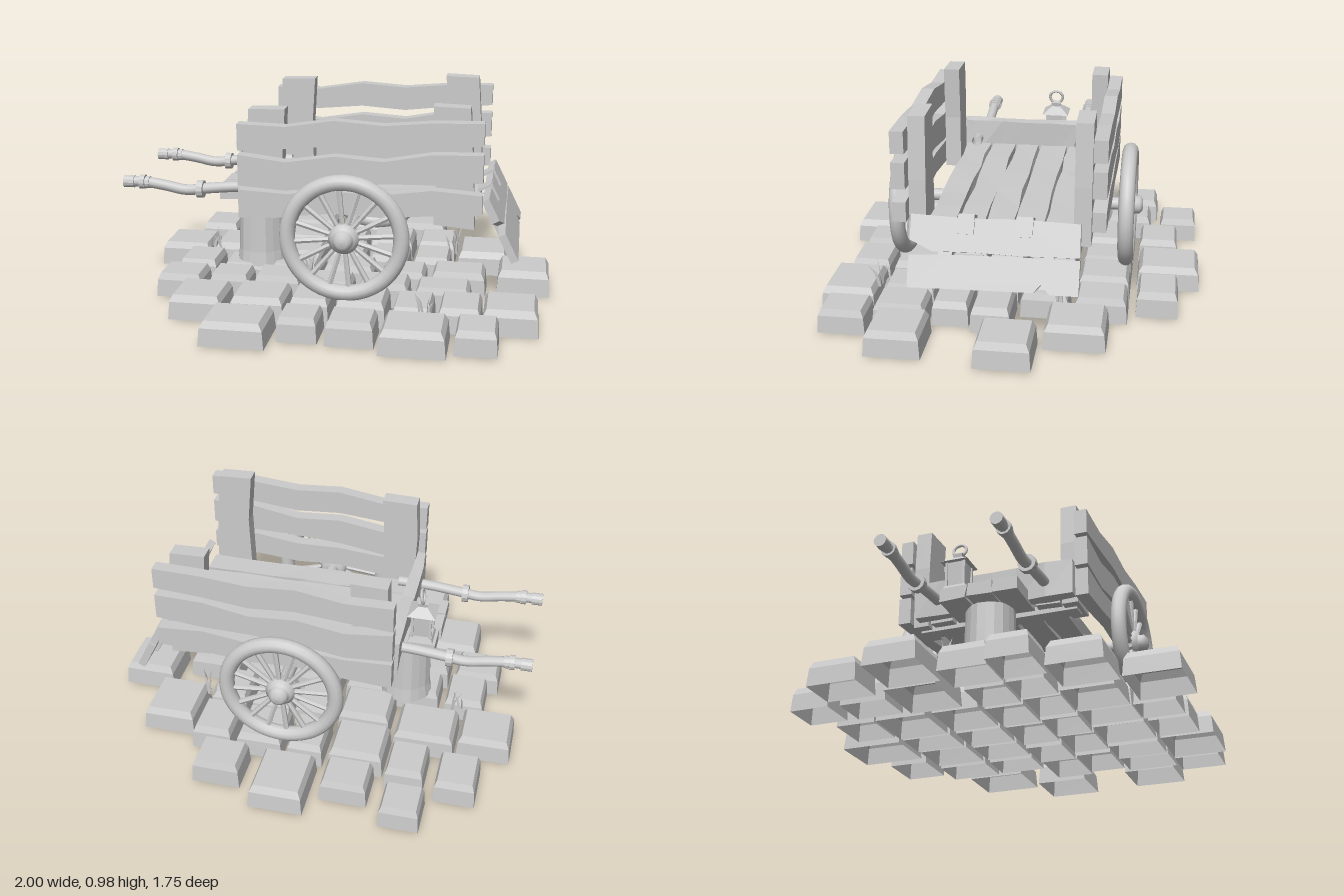
import * as THREE from 'three';

const flat = new THREE.MeshStandardMaterial({ color: 0xcccccc, flatShading: true, side: THREE.DoubleSide });
const smooth = new THREE.MeshStandardMaterial({ color: 0xcccccc, side: THREE.DoubleSide });

let seed = 7;
const rnd = () => ((seed = (seed * 16807) % 2147483647) / 2147483647) * 2 - 1;

function add(parent, name, geo, x = 0, y = 0, z = 0, mat = flat) {
  const m = new THREE.Mesh(geo, mat);
  m.name = name;
  m.position.set(x, y, z);
  parent.add(m);
  return m;
}

// Extruded outline, centred on its thickness
function slab(points, depth) {
  const shape = new THREE.Shape(points.map(p => new THREE.Vector2(p[0], p[1])));
  return new THREE.ExtrudeGeometry(shape, { depth, bevelEnabled: false }).translate(0, 0, -depth / 2);
}

// Rough-hewn block: a segmented box whose cross-sections drift along x
function roughBeam(len, h, d, wobble, segs = 6) {
  const g = new THREE.BoxGeometry(len, h, d, segs, 1, 1);
  const p = g.attributes.position;
  const shifts = Array.from({ length: (segs + 1) * 4 }, () => [rnd() * wobble, rnd() * wobble]);
  for (let i = 0; i < p.count; i++) {
    const k = Math.round((p.getX(i) / len + 0.5) * segs) * 4 + (p.getY(i) > 0 ? 2 : 0) + (p.getZ(i) > 0 ? 1 : 0);
    p.setY(i, p.getY(i) + shifts[k][0] * 0.5);
    p.setZ(i, p.getZ(i) + shifts[k][1]);
  }
  return g;
}

function makeWheel() {
  const w = new THREE.Group();
  w.name = 'wheel';
  add(w, 'rim', new THREE.TorusGeometry(0.254, 0.036, 12, 48), 0, 0, 0, smooth);
  for (let i = 0; i < 16; i++) {
    const spoke = add(w, 'spoke', new THREE.CylinderGeometry(0.014, 0.011, 0.2, 6).translate(0, 0.14, 0));
    spoke.rotation.z = (i / 16) * Math.PI * 2 + 0.1;
  }
  const hub = [[0, -0.045], [0.05, -0.045], [0.068, -0.02], [0.068, 0.015], [0.05, 0.03],
    [0.042, 0.035], [0.042, 0.055], [0.025, 0.068], [0, 0.07]].map(p => new THREE.Vector2(p[0], p[1]));
  add(w, 'hub', new THREE.LatheGeometry(hub, 20).rotateX(Math.PI / 2), 0, 0, 0, smooth);
  return w;
}

// Wavy side board from the heights of its lower and upper edge, spread evenly along x
function sideBoard(lower, upper) {
  const edge = ys => ys.map((y, i) => [-0.4 + (1.085 * i) / (ys.length - 1), y]);
  return slab([...edge(lower), ...edge(upper).reverse()], 0.06);
}

function makeSide() {
  const s = new THREE.Group();
  s.name = 'sideWall';
  const boards = [
    [[0.77, 0.785, 0.805, 0.79, 0.815, 0.83], [0.89, 0.885, 0.92, 0.905, 0.925, 0.93]],
    [[0.61, 0.595, 0.63, 0.645, 0.65, 0.67], [0.75, 0.725, 0.76, 0.745, 0.785, 0.79]],
    [[0.46, 0.475, 0.5, 0.49, 0.51, 0.52], [0.59, 0.58, 0.6, 0.595, 0.625, 0.61]],
  ];
  for (const [lower, upper] of boards) add(s, 'sideBoard', sideBoard(lower, upper), 0, 0, 0.43);
  add(s, 'frontPost', slab([[-0.36, 0.45], [-0.2, 0.45], [-0.21, 0.7], [-0.195, 0.95], [-0.36, 0.945], [-0.37, 0.75]], 0.075), 0, 0, 0.362);
  add(s, 'rearPost', slab([[0.47, 0.45], [0.65, 0.435], [0.64, 0.7], [0.62, 0.98], [0.46, 0.985], [0.48, 0.75]], 0.075), 0, 0, 0.357);
  return s;
}

function makeHandle() {
  const h = new THREE.Group();
  h.name = 'handle';
  const pts = [[-0.99, 0.547], [-0.9, 0.548], [-0.8, 0.535], [-0.7, 0.518], [-0.6, 0.53], [-0.45, 0.545], [-0.3, 0.548]];
  const curve = new THREE.CatmullRomCurve3(pts.map(p => new THREE.Vector3(p[0], p[1], 0)));
  add(h, 'shaft', new THREE.TubeGeometry(curve, 28, 0.025, 10), 0, 0, 0, smooth);
  const ring = (name, x, y, r, len) =>
    add(h, name, new THREE.CylinderGeometry(r, r, len, 12).rotateZ(Math.PI / 2), x, y, 0);
  ring('grip', -0.975, 0.547, 0.029, 0.05);
  ring('gripCollar', -0.91, 0.548, 0.034, 0.025);
  ring('gripCollar', -0.885, 0.546, 0.029, 0.02);
  ring('shaftCollar', -0.63, 0.525, 0.042, 0.03);
  return h;
}

function makeLantern() {
  const l = new THREE.Group();
  l.name = 'lantern';
  const square = (name, top, bottom, h, y) =>
    add(l, name, new THREE.CylinderGeometry(top * Math.SQRT2, bottom * Math.SQRT2, h, 4).rotateY(Math.PI / 4), 0, y, 0);
  square('base', 0.05, 0.058, 0.025, 0.012);
  square('glass', 0.043, 0.036, 0.12, 0.085);
  square('roof', 0.02, 0.065, 0.035, 0.162);
  square('chimney', 0.024, 0.02, 0.02, 0.187);
  for (const x of [-1, 1]) for (const z of [-1, 1]) {
    add(l, 'cornerBar', new THREE.BoxGeometry(0.012, 0.125, 0.012), x * 0.042, 0.085, z * 0.042);
  }
  const loop = add(l, 'carryRing', new THREE.TorusGeometry(0.032, 0.007, 8, 20).rotateY(Math.PI / 2), 0.005, 0.225, 0, smooth);
  loop.rotation.z = -0.2;
  return l;
}

function makeTailboard() {
  const t = new THREE.Group();
  t.name = 'tailboard';
  const turned = (pts, d) => slab(pts, d).rotateY(Math.PI / 2);
  add(t, 'upperBoard', turned([[-0.37, 0], [-0.1, -0.008], [0.1, 0], [0.355, -0.008], [0.36, -0.15], [0.1, -0.155],
    [-0.1, -0.15], [-0.27, -0.155], [-0.37, -0.11]], 0.035));
  add(t, 'lowerBoard', turned([[-0.37, -0.175], [-0.2, -0.165], [0.1, -0.16], [0.36, -0.16], [0.36, -0.31], [0.24, -0.31],
    [0.2, -0.27], [0.17, -0.305], [-0.37, -0.312]], 0.035));
  for (const z of [0.13, -0.12]) {
    add(t, 'hingeStrap', new THREE.BoxGeometry(0.012, 0.08, 0.07), 0.022, -0.035, z);
    add(t, 'hingeLeaf', new THREE.BoxGeometry(0.07, 0.012, 0.07), -0.01, 0.005, z);
  }
  for (const z of [0.22, -0.22]) add(t, 'backBatten', new THREE.BoxGeometry(0.02, 0.26, 0.06), -0.025, -0.16, z);
  t.position.set(0.695, 0.565, 0);
  t.rotation.z = 0.46;
  return t;
}

// Cobbles: four-sided bevelled caps, open underneath
function makePaving() {
  const paving = new THREE.Group();
  paving.name = 'paving';
  const profile = [[1, 0], [0.95, 0.72], [0.83, 1], [0, 1]].map(p => new THREE.Vector2(p[0] / Math.SQRT2, p[1]));
  const geo = new THREE.LatheGeometry(profile, 4, Math.PI / 4);
  const stone = (x, z, w, d) =>
    add(paving, 'pavingStone', geo, x, 0.006 + rnd() * 0.006, z).scale.set(w, 0.116 + rnd() * 0.006, d);

  // Inner rows: centre z, depth, starting x, then stone widths laid with a small gap
  const rows = [
    [-0.435, 0.24, -0.39, [0.26, 0.17, 0.22, 0.19]],
    [-0.18, 0.22, -0.37, [0.25, 0.19, 0.19, 0.18]],
    [0.04, 0.18, -0.57, [0.21, 0.23, 0.25, 0.22, 0.26]],
    [0.23, 0.17, -0.59, [0.19, 0.22, 0.22, 0.24, 0.26]],
    [0.45, 0.24, -0.43, [0.25, 0.18, 0.23, 0.18, 0.19]],
  ];
  for (const [z, d, start, widths] of rows) {
    let x = start;
    for (const w of widths) {
      stone(x + w / 2, z, w, d);
      x += w + 0.025;
    }
  }

  // Ragged border stones: x, z, width, depth
  const back = [[-0.52, -0.77, 0.185, 0.185], [-0.25, -0.675, 0.22, 0.19], [0.035, -0.73, 0.25, 0.295], [0.34, -0.685, 0.225, 0.19]];
  const front = [[-0.345, 0.745, 0.29, 0.25], [-0.08, 0.675, 0.18, 0.19], [0.15, 0.685, 0.215, 0.19],
    [0.425, 0.715, 0.29, 0.25], [0.69, 0.69, 0.185, 0.215]];
  const handleEnd = [[-0.735, -0.545, 0.19, 0.23], [-0.5, -0.52, 0.18, 0.22], [-0.825, -0.22, 0.25, 0.24],
    [-0.545, -0.25, 0.29, 0.24], [-0.695, 0.03, 0.19, 0.22], [-0.73, 0.245, 0.22, 0.19], [-0.58, 0.48, 0.245, 0.25]];
  const tailEnd = [[0.67, -0.34, 0.25, 0.275], [0.875, -0.055, 0.25, 0.25], [0.825, 0.425, 0.25, 0.25]];
  for (const edge of [back, front, handleEnd, tailEnd]) for (const s of edge) stone(...s);
  return paving;
}

export function createModel() {
  const model = new THREE.Group();
  model.name = 'handcartOnCobbles';
  model.add(makePaving());

  // Cart floor: loose planks, the middle ones reaching forward as a shelf
  const planks = [[-0.255, 0.11, -0.36], [-0.125, 0.13, -0.55], [0.005, 0.115, -0.56], [0.125, 0.11, -0.56], [0.255, 0.115, -0.36]];
  for (const [z, w, x0] of planks) {
    add(model, 'floorPlank', roughBeam(0.66 - x0, 0.06, w, 0.007), (0.66 + x0) / 2, 0.49, z);
  }
  for (const x of [-0.28, 0.55]) add(model, 'crossBeam', new THREE.BoxGeometry(0.07, 0.04, 0.76), x, 0.46, 0);
  add(model, 'headboard', roughBeam(0.76, 0.17, 0.05, 0.008).rotateY(Math.PI / 2), -0.385, 0.555, 0.01);
  model.add(makeTailboard());

  // Paired side walls, wheels and handles
  for (const s of [1, -1]) {
    const side = makeSide();
    side.scale.z = s;
    const wheel = makeWheel();
    wheel.position.set(0.09, 0.41, s * 0.528);
    wheel.rotation.y = s > 0 ? 0 : Math.PI;
    const handle = makeHandle();
    handle.position.z = s * 0.26;
    model.add(side, wheel, handle);
  }
  add(model, 'axle', new THREE.CylinderGeometry(0.029, 0.029, 1.18, 14).rotateX(Math.PI / 2), 0.09, 0.41, 0, smooth);

  const lantern = makeLantern();
  lantern.position.set(-0.48, 0.52, -0.125);
  model.add(lantern);

  // Stump propping the front of the cart, with flared roots
  const stumpGeo = new THREE.CylinderGeometry(0.11, 0.118, 0.34, 18, 5);
  const p = stumpGeo.attributes.position;
  for (let i = 0; i < p.count; i++) {
    const a = Math.atan2(p.getZ(i), p.getX(i));
    const k = 1 + 0.025 * Math.sin(a * 6) + (p.getY(i) < -0.12 ? 0.05 + 0.04 * Math.cos(a * 9) : 0);
    p.setX(i, p.getX(i) * k);
    p.setZ(i, p.getZ(i) * k);
  }
  add(model, 'stump', stumpGeo, -0.4, 0.275, 0);

  // Grass tufts: leaning, tapering blades
  const blade = (h, lean) => new THREE.ShapeGeometry(new THREE.Shape([[-0.007, 0], [0.007, 0],
    [lean * 0.35 + 0.005, h * 0.6], [lean, h], [lean * 0.35 - 0.006, h * 0.6]].map(q => new THREE.Vector2(q[0], q[1]))));
  for (const [x, z, size] of [[-0.66, -0.1, 0.13], [0.45, 0.57, 0.12], [0.52, -0.26, 0.17], [-0.13, 0.14, 0.12]]) {
    for (let i = 0; i < 5; i++) {
      const b = add(model, 'grassBlade', blade(size * (0.8 + 0.25 * rnd()), 0.04 + 0.02 * rnd()), x + rnd() * 0.03, 0.09, z + rnd() * 0.02);
      b.rotation.y = i * 1.26;
    }
  }
  return model;
}
